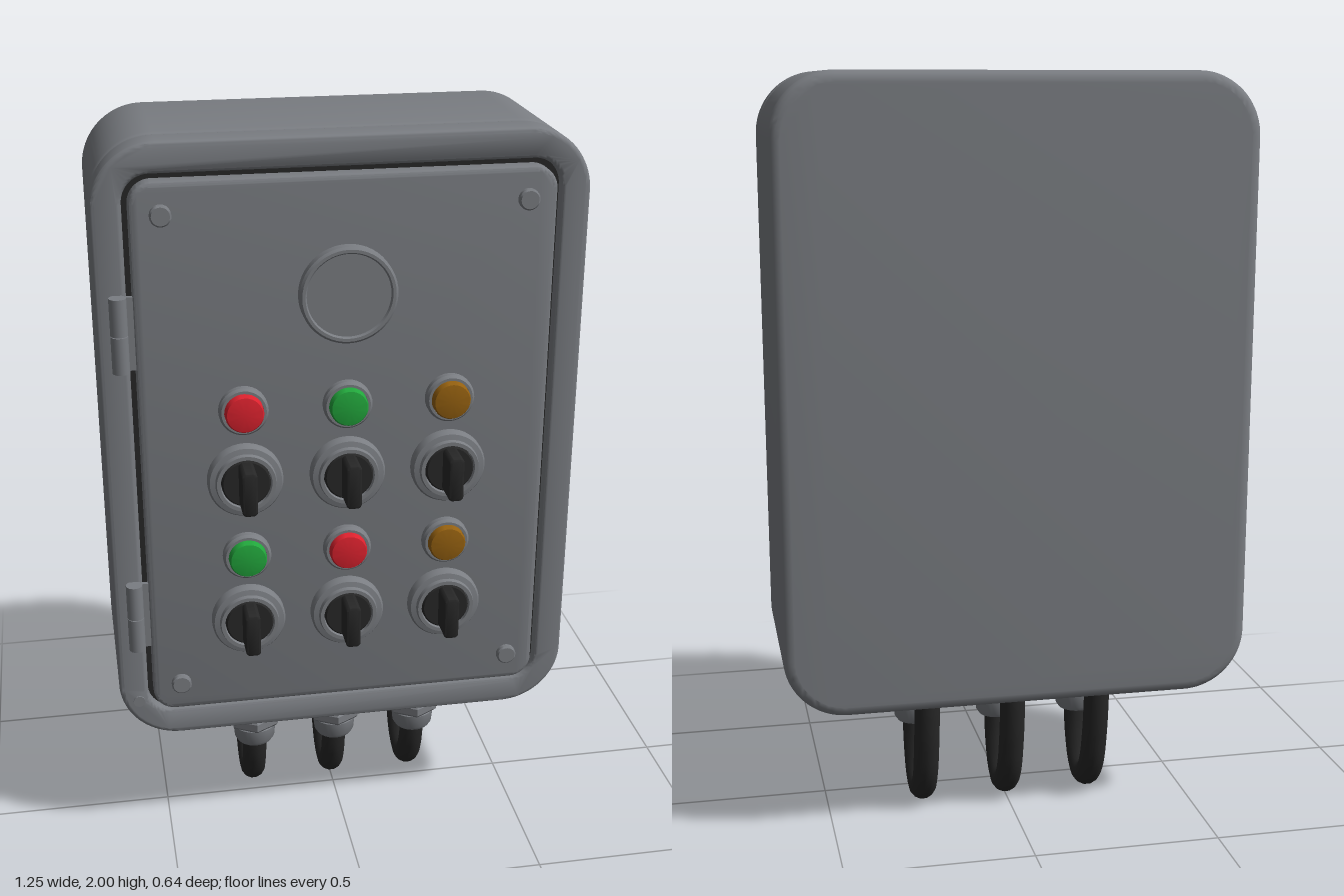
import * as THREE from 'three';
import { toCreasedNormals } from 'three/addons/utils/BufferGeometryUtils.js';

const paint = (name, color) => {
  const m = new THREE.MeshStandardMaterial({ color });
  m.name = name;
  return m;
};

export function createModel() {
  const root = new THREE.Group();
  root.name = 'controlBox';
  const grey = paint('grey enclosure', 0x7a7d82);
  const black = paint('black rubber', 0x272727);
  const red = paint('red lens', 0xdc222e);
  const green = paint('green lens', 0x22a63c);
  const amber = paint('amber lens', 0x946010);

  const add = (name, geo, mat, x = 0, y = 0, z = 0, parent = root) => {
    const mesh = new THREE.Mesh(geo, mat);
    mesh.name = name;
    mesh.position.set(x, y, z);
    parent.add(mesh);
    return mesh;
  };

  // Rounded rectangle around the middle of the box front
  const MID = 1.175;
  const outline = (path, hw, hh, r) => {
    path.moveTo(-hw + r, -hh);
    path.lineTo(hw - r, -hh);
    path.absarc(hw - r, -hh + r, r, -Math.PI / 2, 0);
    path.absarc(hw - r, hh - r, r, 0, Math.PI / 2);
    path.absarc(-hw + r, hh - r, r, Math.PI / 2, Math.PI);
    path.absarc(-hw + r, -hh + r, r, Math.PI, Math.PI * 1.5);
    return path;
  };
  // Bevelled slab that fills z0..z1 exactly
  const slab = (shape, z0, z1, bevel) => {
    const geo = new THREE.ExtrudeGeometry(shape, {
      depth: z1 - z0 - 2 * bevel, curveSegments: 10, bevelEnabled: bevel > 0,
      bevelThickness: bevel, bevelSize: bevel, bevelOffset: -bevel, bevelSegments: 4,
    });
    geo.translate(0, 0, z0 + bevel);
    return toCreasedNormals(geo, 0.6);
  };
  const rounded = (hw, hh, r) => outline(new THREE.Shape(), hw, hh, r);
  // Turned part, with its axis along z when facing the front
  const turned = (points, sides = 32, facing = true) => {
    const geo = new THREE.LatheGeometry(points.map(p => new THREE.Vector2(...p)), sides);
    if (facing) geo.rotateX(Math.PI / 2);
    return toCreasedNormals(geo, 0.6);
  };

  // Enclosure: rear shell, seam and front frame
  add('rearShell', slab(rounded(0.625, 0.825, 0.165), -0.32, 0.101, 0.028), grey, 0, MID);
  add('seam', slab(rounded(0.621, 0.821, 0.161), 0.06, 0.14, 0), grey, 0, MID);
  const frame = rounded(0.625, 0.825, 0.165);
  frame.holes.push(outline(new THREE.Path(), 0.547, 0.747, 0.07));
  add('frontFrame', slab(frame, 0.099, 0.19, 0.013), grey, 0, MID);

  // Door and the dark gasket around it
  add('gasket', slab(rounded(0.555, 0.755, 0.07), 0.141, 0.165, 0), black, 0, MID);
  add('door', slab(rounded(0.533, 0.733, 0.06), 0.15, 0.21, 0.012), grey, 0, MID);

  // Door screws and frame screw
  const screw = turned([[0.027, -0.005], [0.027, 0.012], [0.023, 0.016], [0, 0.016]], 20);
  for (const x of [-0.457, 0.457])
    for (const y of [0.525, 1.828]) add('doorScrew', screw, grey, x, y, 0.21);
  add('frameScrew', turned([[0.016, -0.002], [0.016, 0.004], [0, 0.004]], 16), grey, -0.573, 0.465, 0.19);

  // Hinges
  for (const y of [0.738, 1.53]) {
    const hinge = new THREE.Group();
    hinge.name = 'hinge';
    hinge.position.set(-0.57, y, 0.208);
    root.add(hinge);
    for (const s of [-1, 1])
      add('hingeKnuckle', new THREE.CylinderGeometry(0.022, 0.022, 0.096, 16), grey, 0, s * 0.049, 0, hinge);
    add('hingePin', new THREE.CylinderGeometry(0.017, 0.017, 0.19, 12), grey, 0, 0, 0, hinge);
    add('hingeLeaf', new THREE.BoxGeometry(0.05, 0.19, 0.012), grey, 0.022, 0, -0.012, hinge);
  }

  // Round cover with a raised rim
  add('roundCover', turned([[0.125, -0.005], [0.125, 0.025], [0.119, 0.031], [0.111, 0.031],
    [0.107, 0.025], [0, 0.025]], 48), grey, 0, 1.61, 0.21);

  // Indicator lamps
  const bezel = turned([[0.064, -0.005], [0.064, 0.016], [0.058, 0.024], [0.051, 0.024], [0.051, 0.01]]);
  const lens = turned([[0.05, 0], [0.05, 0.035], [0.046, 0.042], [0.03, 0.045], [0, 0.046]]);
  // Rotary switches
  const collar = turned([[0.099, -0.005], [0.099, 0.018], [0.094, 0.026], [0.08, 0.029],
    [0.077, 0.04], [0.067, 0.04], [0.065, 0.02]], 40);
  const dial = turned([[0.064, 0], [0.064, 0.034], [0.06, 0.038], [0, 0.038]]);
  const grip = slab(rounded(0.02, 0.06, 0.012), 0.03, 0.112, 0.006);
  const rows = [[1.315, 1.123, [red, green, amber]], [0.903, 0.713, [green, red, amber]]];
  for (const [lampY, switchY, colours] of rows) {
    colours.forEach((colour, i) => {
      const x = (i - 1) * 0.269;
      add('lampBezel', bezel, grey, x, lampY, 0.21);
      add('lampLens', lens, colour, x, lampY, 0.21);
      add('switchCollar', collar, grey, x, switchY, 0.21);
      add('switchDial', dial, black, x, switchY, 0.21);
      add('switchGrip', grip, black, x, switchY, 0.21);
    });
  }

  // Cable glands and looped cables
  const gland = turned([[0.034, 0.198], [0.05, 0.198], [0.058, 0.21], [0.062, 0.25], [0.056, 0.256],
    [0.056, 0.315], [0.05, 0.32], [0.05, 0.33], [0.062, 0.334], [0.062, 0.352]], 28, false);
  const nut = turned([[0.05, 0.25], [0.068, 0.252], [0.075, 0.26], [0.075, 0.282], [0.068, 0.29], [0.05, 0.292]], 6, false);
  const loop = new THREE.CatmullRomCurve3([[0.28, 0.016], [0.2, 0.015], [0.12, -0.002], [0.059, -0.036],
    [0.036, -0.08], [0.054, -0.13], [0.11, -0.172], [0.2, -0.198], [0.29, -0.211], [0.37, -0.216],
  ].map(([y, z]) => new THREE.Vector3(0, y, z)));
  const cable = new THREE.TubeGeometry(loop, 48, 0.035, 14);
  for (const x of [-0.237, 0, 0.237]) {
    add('cableGland', gland, grey, x, 0, 0.016);
    add('glandNut', nut, grey, x, 0, 0.016);
    add('glandCollar', new THREE.CylinderGeometry(0.07, 0.066, 0.018, 28), grey, x, 0.308, 0.016);
    add('cable', cable, black, x);
  }
  return root;
}
